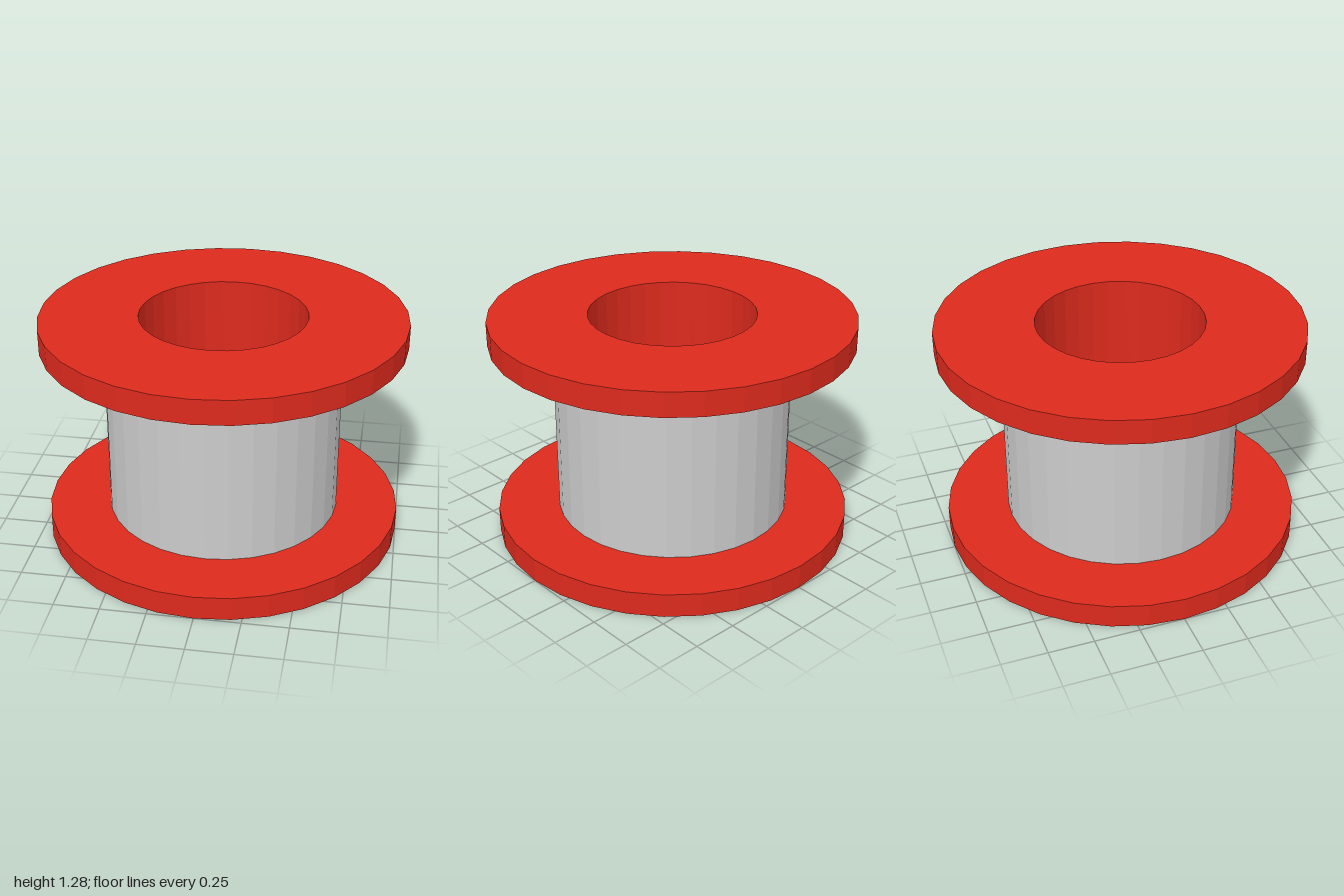
import * as THREE from 'three';

const SIDES = 32;
const HEIGHT = 1.28;
const FLANGE = 0.135; // flange thickness
const RIM = 1, DRUM = 0.655, BORE = 0.46; // radii

// Faceted solid of revolution from [radius, y] pairs
function turned(name, profile, color) {
  const points = profile.map(([r, y]) => new THREE.Vector2(r, y));
  const mesh = new THREE.Mesh(
    new THREE.LatheGeometry(points, SIDES),
    new THREE.MeshStandardMaterial({ color, flatShading: true })
  );
  mesh.name = name;
  return mesh;
}

export function createModel() {
  const spool = new THREE.Group();
  spool.name = 'spool';

  // Two flanges joined by the lining of the bore
  spool.add(turned('flangesAndBore', [
    [DRUM, HEIGHT - FLANGE], [RIM, HEIGHT - FLANGE], [RIM, HEIGHT], [BORE, HEIGHT],
    [BORE, 0], [RIM, 0], [RIM, FLANGE], [DRUM, FLANGE],
  ], 0xdd2a1d));

  // Drum between the flanges
  spool.add(turned('drum', [[DRUM, FLANGE], [DRUM, HEIGHT - FLANGE]], 0xcccccc));

  return spool;
}
